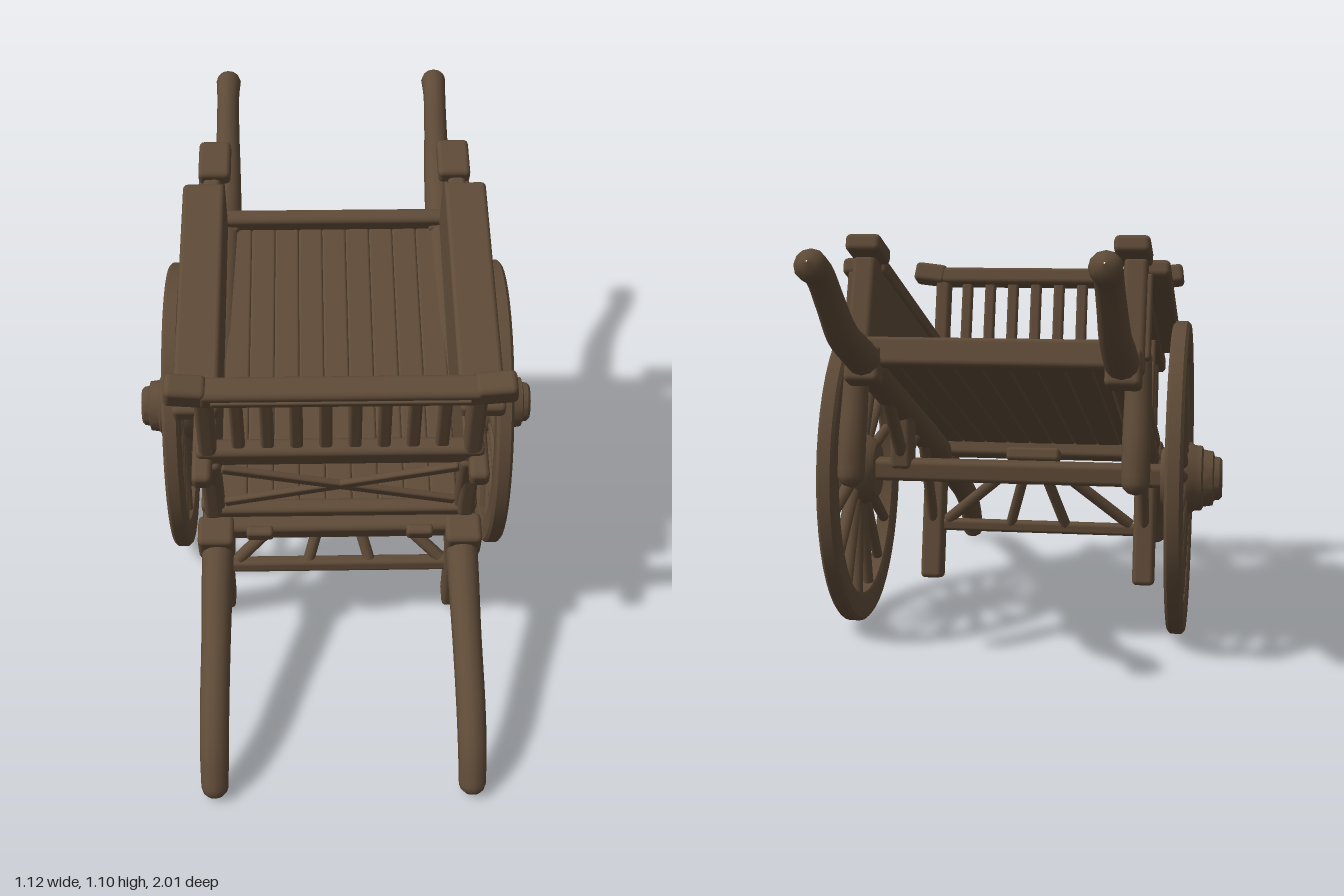
import * as THREE from 'three';
import { toCreasedNormals } from 'three/addons/utils/BufferGeometryUtils.js';
import { RoundedBoxGeometry } from 'three/addons/geometries/RoundedBoxGeometry.js';

const wood = new THREE.MeshStandardMaterial({ color: 0x5e4a37 });
wood.name = 'brownWood';
const V = (x, y, z) => new THREE.Vector3(x, y, z);

function add(parent, name, geo) {
  const m = new THREE.Mesh(geo, wood);
  m.name = name;
  parent.add(m);
  return m;
}

// Softly rounded block, given by size and centre
function block(parent, name, w, h, d, x, y, z) {
  const m = add(parent, name, new RoundedBoxGeometry(w, h, d, 2, Math.min(0.014, 0.3 * Math.min(w, h, d))));
  m.position.set(x, y, z);
  return m;
}

function align(m, a, b) {
  m.position.copy(a).add(b).multiplyScalar(0.5);
  m.quaternion.setFromUnitVectors(V(0, 1, 0), b.clone().sub(a).normalize());
  return m;
}

// Squared timber between two points
function beam(parent, name, a, b, w, d) {
  return align(block(parent, name, w, a.distanceTo(b), d, 0, 0, 0), a, b);
}

// Round rod between two points
function rod(parent, name, a, b, r0, r1 = r0) {
  return align(add(parent, name, new THREE.CylinderGeometry(r1, r0, a.distanceTo(b), 10)), a, b);
}

// Round timber along a path in the yz plane; path entries are [z, y, radius]
function timber(parent, name, x, path, segs) {
  const curve = new THREE.CatmullRomCurve3(path.map(([z, y]) => V(0, y, z)), false, 'centripetal');
  const sizes = new THREE.CatmullRomCurve3(path.map(([, , r], i) => V(i, r, 0)), false, 'centripetal');
  const rings = [], n = 12;
  const cap = [[-0.8, 0.05], [-0.65, 0.55], [-0.35, 0.87]];
  const ring = (t, shift, k) => {
    const p = curve.getPoint(t), d = curve.getTangent(t), r = sizes.getPoint(t).y;
    rings.push({ p: p.addScaledVector(d, shift * r), d, r: r * k });
  };
  cap.forEach(([s, k]) => ring(0, s, k));
  for (let i = 0; i <= segs; i++) ring(i / segs, 0, 1);
  cap.reverse().forEach(([s, k]) => ring(1, -s, k));
  const pos = [], idx = [];
  rings.forEach(({ p, d, r }, j) => {
    for (let i = 0; i < n; i++) {
      const a = (i / n) * Math.PI * 2, c = Math.cos(a) * r, s = Math.sin(a) * r;
      pos.push(c, p.y + d.z * s, p.z - d.y * s);
      if (j) {
        const k = (i + 1) % n, o = (j - 1) * n, q = j * n;
        idx.push(o + i, o + k, q + i, o + k, q + k, q + i);
      }
    }
  });
  const g = new THREE.BufferGeometry();
  g.setAttribute('position', new THREE.Float32BufferAttribute(pos, 3));
  g.setIndex(idx);
  g.computeVertexNormals();
  add(parent, name, g).position.x = x;
}

// Turned part about the x axis; profile entries are [x, radius]
function turned(parent, name, profile) {
  const g = new THREE.LatheGeometry(profile.map(([x, r]) => new THREE.Vector2(r, x)), 48);
  g.rotateZ(-Math.PI / 2);
  return add(parent, name, toCreasedNormals(g, 0.7));
}

function wheel() {
  const g = new THREE.Group();
  turned(g, 'rim', [[-0.015, 0.427], [0.015, 0.427], [0.023, 0.418], [0.023, 0.358], [0.016, 0.349],
    [-0.016, 0.349], [-0.023, 0.358], [-0.023, 0.418], [-0.015, 0.427]]);
  turned(g, 'hub', [[-0.05, 0], [-0.05, 0.075], [-0.04, 0.085], [-0.015, 0.098], [0.03, 0.098], [0.04, 0.09],
    [0.06, 0.088], [0.065, 0.078], [0.09, 0.074], [0.094, 0.06], [0.108, 0.058], [0.115, 0.05],
    [0.115, 0.03], [0.105, 0.028], [0.105, 0.016], [0.114, 0.013], [0.114, 0]]);
  for (let i = 0; i < 16; i++) {
    const a = ((i + 0.5) / 16) * Math.PI * 2, c = Math.cos(a), s = Math.sin(a);
    rod(g, 'spoke', V(0.008, c * 0.07, s * 0.07), V(0, c * 0.36, s * 0.36), 0.019, 0.015);
  }
  return g;
}

export function createModel() {
  const cart = new THREE.Group();
  cart.name = 'handCart';

  // Tilted body: its own y is square to the floor, z runs down to the front
  const body = new THREE.Group();
  body.name = 'body';
  body.position.y = 0.6;
  body.rotation.x = THREE.MathUtils.degToRad(21);
  cart.add(body);

  // Close-fitted floor planks, sills and front rails
  for (let i = 0; i < 9; i++) block(body, 'floorPlank', 0.0705, 0.026, 0.97, (i - 4) * 0.0695, 0, -0.045);
  block(body, 'rearSill', 0.66, 0.075, 0.05, 0, 0.015, -0.535);
  block(body, 'frontSill', 0.72, 0.055, 0.07, 0, -0.025, 0.455);
  block(body, 'frontLowerRail', 0.64, 0.035, 0.04, 0, 0.03, 0.44);
  block(body, 'frontUpperRail', 0.72, 0.06, 0.05, 0, 0.277, 0.415);

  for (const s of [-1, 1]) {
    // Crossed braces in the open front frame
    beam(body, 'frontCrossBrace', V(-0.3, 0.143 - s * 0.085, 0.435), V(0.3, 0.143 + s * 0.085, 0.435), 0.025, 0.018);
    block(body, 'sillBlock', 0.07, 0.035, 0.03, s * 0.21, -0.01, 0.492);

    // Side walls with battens
    block(body, 'sidePanel', 0.028, 0.28, 0.95, s * 0.328, 0.11, -0.045);
    for (const z of [-0.33, -0.1, 0.13]) block(body, 'sideBatten', 0.025, 0.25, 0.04, s * 0.348, 0.115, z);
    block(body, 'sideLowerRail', 0.05, 0.04, 0.95, s * 0.34, 0, -0.045);
    // Top rail, wide cap board and end caps
    block(body, 'sideTopRail', 0.05, 0.05, 1.04, s * 0.345, 0.262, -0.02);
    block(body, 'sideCapBoard', 0.117, 0.045, 0.76, s * 0.367, 0.27, -0.075);
    block(body, 'rearCap', 0.09, 0.045, 0.13, s * 0.338, 0.285, -0.535);
    // Corner posts
    block(body, 'rearPost', 0.06, 0.3, 0.055, s * 0.345, 0.12, -0.515);
    block(body, 'rearPostFace', 0.025, 0.22, 0.03, s * 0.375, 0.12, -0.515);
    block(body, 'frontFramePost', 0.05, 0.29, 0.045, s * 0.325, 0.12, 0.43);
    block(body, 'shaftCollar', 0.095, 0.095, 0.085, s * 0.325, -0.035, 0.49);
    block(body, 'rearShaftCollar', 0.09, 0.095, 0.07, s * 0.325, -0.02, -0.535);

    // Curved shafts running from front handles to rear handles
    timber(cart, 'shaft', s * 0.322, [[0.975, 0.03, 0.034], [0.93, 0.108, 0.036], [0.84, 0.183, 0.037],
      [0.68, 0.262, 0.038], [0.46, 0.372, 0.042], [-0.05, 0.59, 0.042], [-0.56, 0.805, 0.044],
      [-0.72, 0.872, 0.039], [-0.815, 0.95, 0.035], [-0.9, 1.02, 0.034], [-0.97, 1.045, 0.038]], 48);

    // Front and rear prop legs
    beam(cart, 'frontLeg', V(s * 0.325, 0.45, 0.39), V(s * 0.325, 0.025, 0.295), 0.065, 0.074);
    timber(cart, 'rearLeg', s * 0.358, [[-0.445, 0.8, 0.032], [-0.47, 0.7, 0.034], [-0.51, 0.58, 0.036],
      [-0.528, 0.495, 0.035]], 14);

    // Backrest posts and upturned rail ends
    beam(cart, 'backrestPost', V(s * 0.33, 0.46, 0.42), V(s * 0.33, 0.94, 0.545), 0.045, 0.055);
    const end = block(cart, 'backrestRailEnd', 0.1, 0.06, 0.066, s * 0.372, 0.944, 0.546);
    end.rotation.set(body.rotation.x, 0, s * 0.12);

    // Fan of struts below the front
    rod(cart, 'outerFanStrut', V(s * 0.28, 0.205, 0.325), V(s * 0.03, 0.42, 0.225), 0.017);
    rod(cart, 'innerFanStrut', V(s * 0.085, 0.195, 0.325), V(s * 0.015, 0.42, 0.225), 0.016);
    rod(cart, 'legBrace', V(s * 0.325, 0.19, 0.32), V(s * 0.325, 0.49, 0.17), 0.016);

    // Axle supports
    block(cart, 'axleBracket', 0.06, 0.18, 0.08, s * 0.325, 0.53, -0.09);
    for (const [z, y] of [[0.1, 0.52], [-0.3, 0.69]]) {
      rod(cart, 'axleStrut', V(s * 0.325, 0.46, -0.09), V(s * 0.325, y, z), 0.018);
    }

    // Wheels, slightly narrower front to back than tall
    const w = wheel();
    w.name = s > 0 ? 'leftWheel' : 'rightWheel';
    w.position.set(s * 0.447, 0.432, -0.088);
    w.scale.z = 0.89;
    if (s < 0) w.rotation.y = Math.PI;
    cart.add(w);
  }

  // Backrest rail and slats
  block(cart, 'backrestRail', 0.68, 0.052, 0.066, 0, 0.936, 0.545).rotation.x = body.rotation.x;
  block(cart, 'backrestRailStrip', 0.62, 0.014, 0.012, 0, 0.924, 0.576).rotation.x = body.rotation.x;
  for (let i = 0; i < 8; i++) {
    const x = (i - 3.5) * 0.0725;
    beam(cart, 'backrestSlat', V(x, 0.71, 0.482), V(x, 0.925, 0.54), 0.033, 0.03);
  }

  // Axle and the stretcher between the front legs
  block(cart, 'axle', 0.82, 0.06, 0.065, 0, 0.435, -0.09);
  block(cart, 'legStretcher', 0.62, 0.036, 0.036, 0, 0.188, 0.328);
  block(cart, 'fanTopBlock', 0.16, 0.04, 0.05, 0, 0.43, 0.22).rotation.x = body.rotation.x;
  return cart;
}
